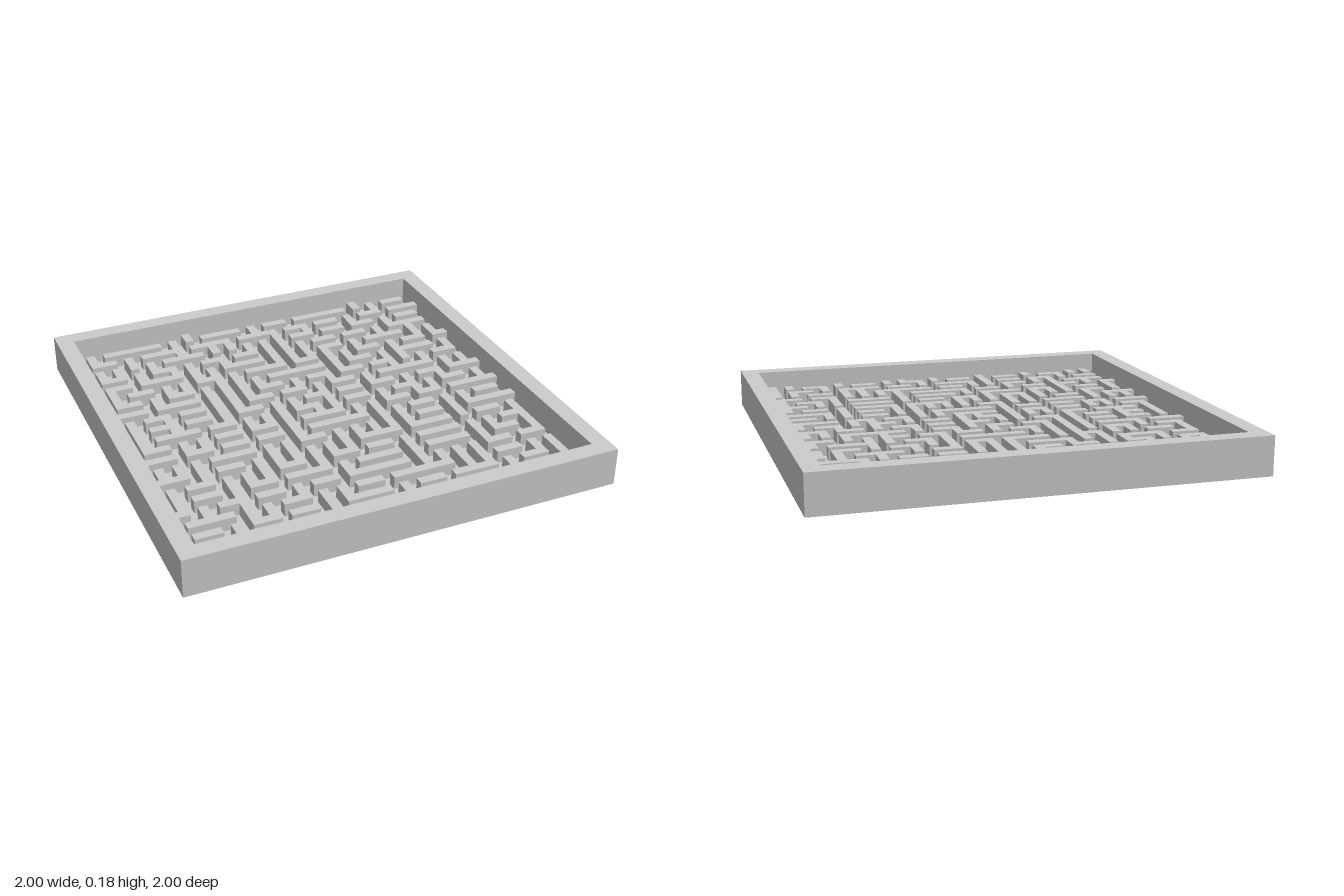
import * as THREE from 'three';
import { mergeGeometries } from 'three/addons/utils/BufferGeometryUtils.js';

const HEIGHT = 0.18, INNER = 0.918, FLOOR = 0.04, WALL_TOP = 0.1;
const CELL = (2 * INNER) / 43;

// One letter per post: the side (up = back, down = front) its wall runs to.
const MAZE = [
  'DRRRLDURRLDRLRRRLUDRL',
  'RLDRRDRRDRRDRDRLDRLRR',
  'DDUDRRLUUDDDRLRLRLDRL',
  'RLDRDDRDRLDDDRLRLDRDL',
  'DLRRLDDRRLDDDDLDRRLDD',
  'DRLDDRDDRRLRLDDRLDRLR',
  'RLDRLDDDDRRRLDRLDRRLD',
  'LLRRLDDDRLDRDRLRDUDRL',
  'DRDRLDDRLRLDRLDRRRLDD',
  'DRDRLDRLDDRDRLRLDRDRR',
  'DRRLRLDDDRDDRLDRDDRLD',
  'RLDDRLRLDRRLDDRLRLRRR',
  'LLRLRLRLDRRRLDDRLDDRL',
  'DDDRRLDDRLDDDDDRLDRRR',
  'LLDRLDDDDDDRRLRRLURLD',
  'DRLDDDRLDRLRLDRRLDDRD',
  'DRLDRLRRLDRRLDRRLDRLD',
  'LDRDRLDRLRRRLDDDDRLRL',
  'RRLDDRLDDRLRRRLDDRLDD',
  'RLDRLRLDRRLDRLRRLDRLD',
  'DDRLDRLDRLDRDDRLDRLDD',
];
const STEP = { U: [0, -1], D: [0, 1], L: [-1, 0], R: [1, 0] };

function square(shape, s) {
  shape.moveTo(-s, -s);
  shape.lineTo(s, -s);
  shape.lineTo(s, s);
  shape.lineTo(-s, s);
  shape.closePath();
  return shape;
}

export function createModel() {
  const group = new THREE.Group();
  const material = new THREE.MeshStandardMaterial({ color: 0xcccccc, flatShading: true });
  const add = (name, geometry) => {
    const mesh = new THREE.Mesh(geometry, material);
    mesh.name = name;
    group.add(mesh);
  };

  // Square outer frame
  const outline = square(new THREE.Shape(), 1);
  outline.holes.push(square(new THREE.Path(), INNER));
  const frame = new THREE.ExtrudeGeometry(outline, { depth: HEIGHT, bevelEnabled: false });
  frame.rotateX(-Math.PI / 2);
  add('frame', frame);

  // Floor plate inside the frame
  add('floor', new THREE.BoxGeometry(2 * INNER, FLOOR, 2 * INNER).translate(0, FLOOR / 2, 0));

  // Maze walls: each post plus the link to its neighbour or the frame
  const walls = new Map();
  MAZE.forEach((row, j) => [...row].forEach((letter, i) => {
    const [dx, dz] = STEP[letter];
    const c = 2 * i + 1, r = 2 * j + 1;
    walls.set(`${c},${r}`, [c, r]);
    walls.set(`${c + dx},${r + dz}`, [c + dx, r + dz]);
  }));

  // Join neighbouring cells along x into single boxes
  const boxes = [];
  for (const [c, r] of walls.values()) {
    if (walls.has(`${c - 1},${r}`)) continue;
    let n = 1;
    while (walls.has(`${c + n},${r}`)) n++;
    const box = new THREE.BoxGeometry(n * CELL, WALL_TOP - FLOOR, CELL);
    box.translate((c + n / 2) * CELL - INNER, (WALL_TOP + FLOOR) / 2, (r + 0.5) * CELL - INNER);
    boxes.push(box);
  }
  add('mazeWalls', mergeGeometries(boxes));
  return group;
}
